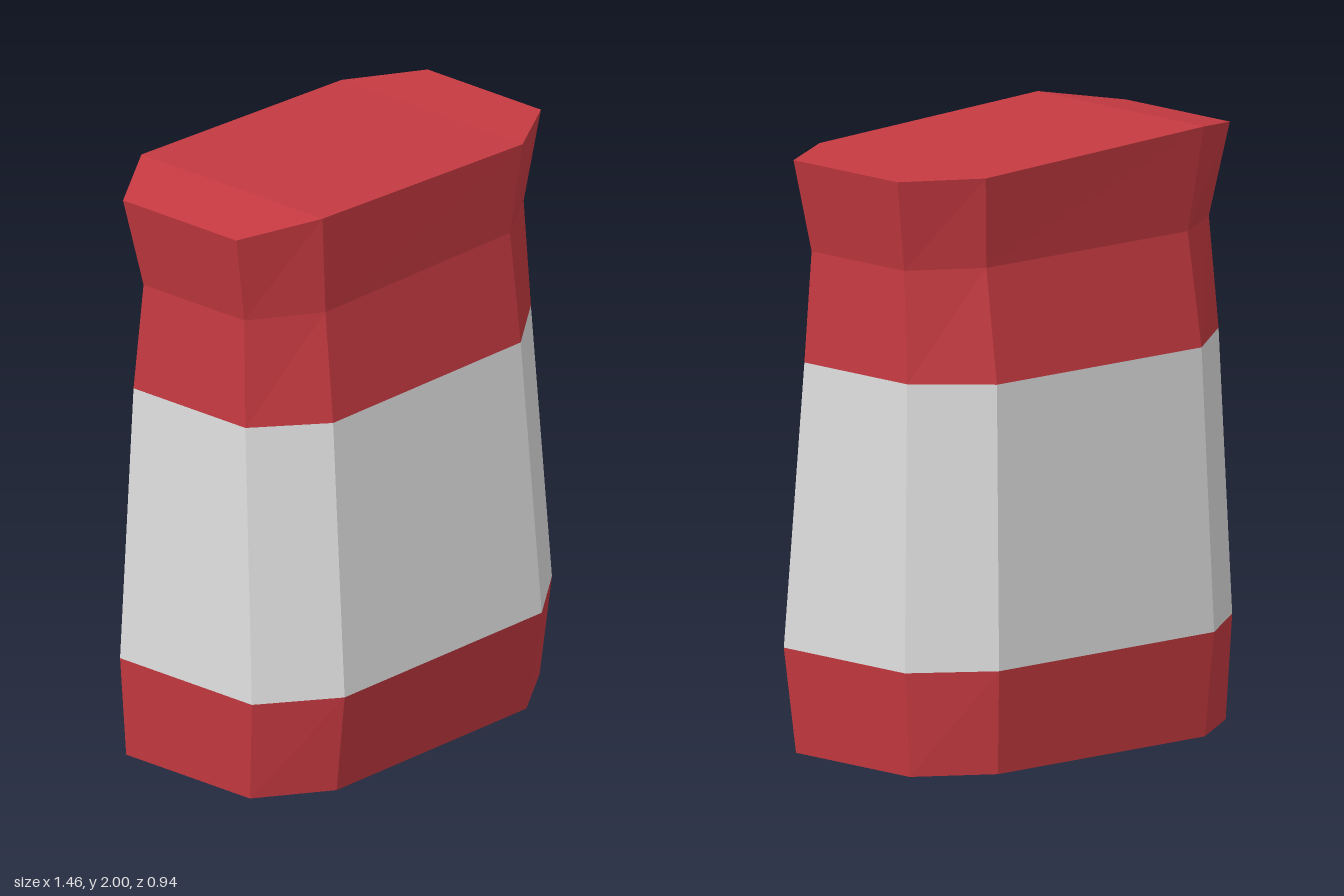
import * as THREE from 'three';

// Eight corners of a chamfered-rectangle cross-section, in order around the body.
// xo/xi: outer and inner half widths, zf/zb: front/back faces, sf/sb: side edges
function ring({ y, xo, xi, zf, zb, sf, sb, ySide = y, yLeft = y }) {
  return [
    [-xi, yLeft, zf], [xi, y, zf], [xo, ySide, sf], [xo, ySide, sb],
    [xi, y, zb], [-xi, yLeft, zb], [-xo, ySide, sb], [-xo, ySide, sf],
  ];
}

const RINGS = [
  { y: 0, xo: 0.695, xi: 0.455, zf: 0.417, zb: -0.443, sf: 0.257, sb: -0.283 },
  { y: 0.345, xo: 0.72, xi: 0.473, zf: 0.468, zb: -0.468, sf: 0.288, sb: -0.287 },
  { y: 1.28, ySide: 1.288, xo: 0.685, xi: 0.45, zf: 0.397, zb: -0.433, sf: 0.228, sb: -0.26 },
  { y: 1.655, xo: 0.67, xi: 0.443, zf: 0.357, zb: -0.375, sf: 0.21, sb: -0.23 },
  { y: 1.96, yLeft: 2, xo: 0.731, xi: 0.48, zf: 0.378, zb: -0.412, sf: 0.23, sb: -0.264 },
].map(ring);

function quad(out, a, b, c, d) {
  out.push(...a, ...b, ...c, ...a, ...c, ...d);
}

function facets(positions) {
  const g = new THREE.BufferGeometry();
  g.setAttribute('position', new THREE.Float32BufferAttribute(positions, 3));
  g.computeVertexNormals();
  return g;
}

// Side walls joining consecutive cross-sections
function walls(rings) {
  const p = [];
  for (let k = 0; k + 1 < rings.length; k++) {
    const lo = rings[k], hi = rings[k + 1];
    for (let i = 0; i < 8; i++) {
      const j = (i + 1) % 8;
      quad(p, lo[i], lo[j], hi[j], hi[i]);
    }
  }
  return facets(p);
}

// Cap made of a middle panel and two tapered end panels
function cap(r, up) {
  const p = [];
  for (const panel of [[0, 1, 4, 5], [1, 2, 3, 4], [7, 0, 5, 6]]) {
    const c = panel.map((i) => r[i]);
    quad(p, ...(up ? c : c.reverse()));
  }
  return facets(p);
}

export function createModel() {
  const red = new THREE.MeshStandardMaterial({ color: 0xc63a41 });
  const white = new THREE.MeshStandardMaterial({ color: 0xdfdfdf });
  red.name = 'red';
  white.name = 'lightGrey';

  const group = new THREE.Group();
  group.name = 'container';
  const add = (name, geometry, material) => {
    const mesh = new THREE.Mesh(geometry, material);
    mesh.name = name;
    group.add(mesh);
  };

  add('bottom', cap(RINGS[0], false), red);
  add('baseBand', walls(RINGS.slice(0, 2)), red);
  add('middleBand', walls(RINGS.slice(1, 3)), white);
  add('neckAndFlare', walls(RINGS.slice(2, 5)), red);
  add('slopedTop', cap(RINGS[4], true), red);
  return group;
}
